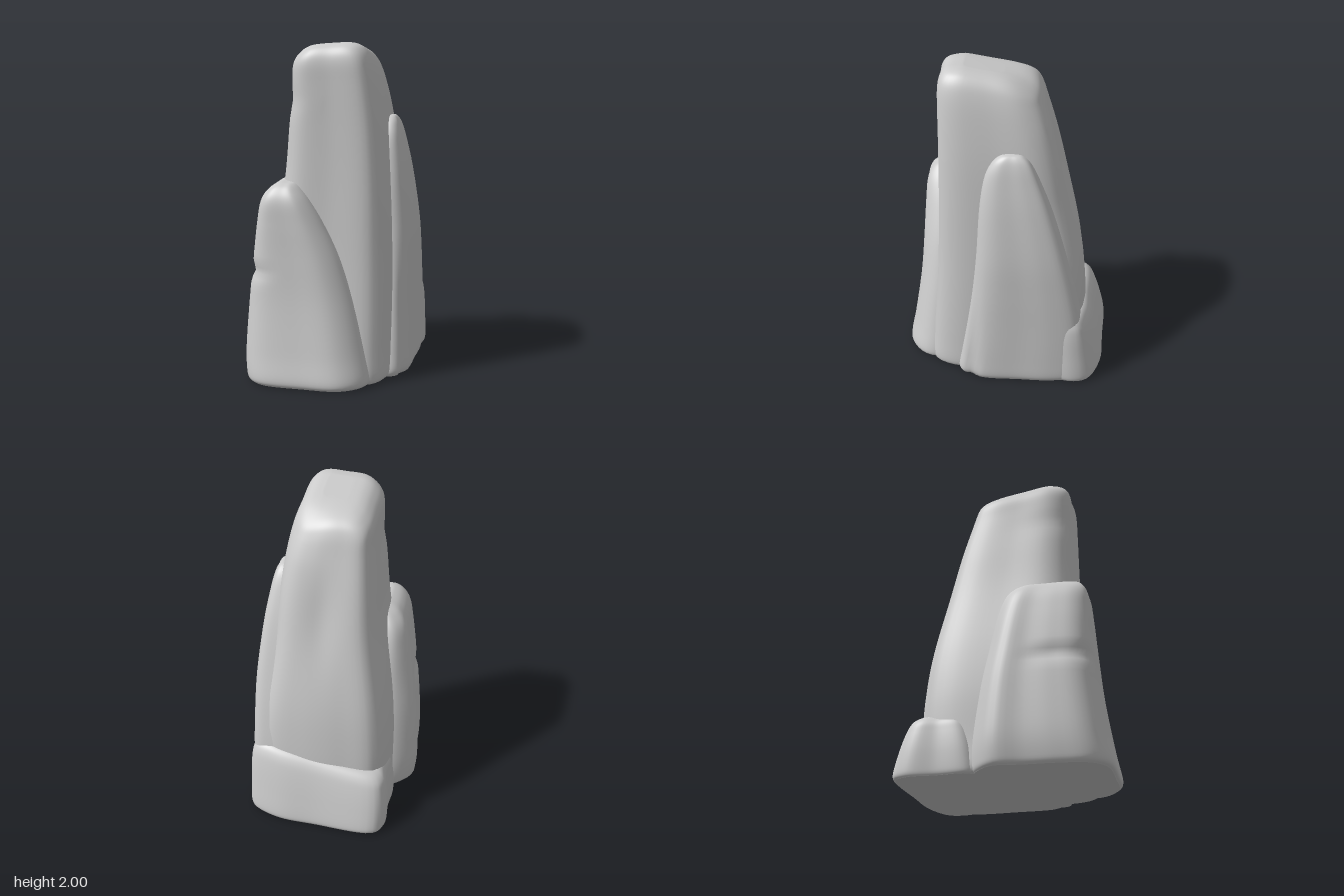
import * as THREE from 'three';

const SIDES = 72, ROWS = 60;
const { smoothstep } = THREE.MathUtils;

// Catmull-Rom blend of the level rows, so each rock tapers smoothly
function levelAt(levels, t) {
  const n = levels.length - 1, f = t * n, i = Math.min(Math.floor(f), n - 1), u = f - i;
  const at = (k) => levels[Math.max(0, Math.min(n, k))];
  return levels[0].map((_, c) => {
    const a = at(i - 1)[c], b = at(i)[c], d = at(i + 1)[c], e = at(i + 2)[c];
    const m0 = (d - a) / 2, m1 = (e - b) / 2;
    return b + m0 * u + (3 * (d - b) - 2 * m0 - m1) * u * u + (2 * (b - d) + m0 + m1) * u * u * u;
  });
}

// Loft a plan outline (-1..1) through levels of [y, xMin, xMax, zMin, zMax]
function rock(name, plan, levels, shape) {
  const curve = new THREE.CatmullRomCurve3(plan.map(([x, z]) => new THREE.Vector3(x, 0, z)), true, 'centripetal');
  const ring = curve.getSpacedPoints(SIDES).slice(0, SIDES);
  const pos = [], index = [];
  for (let r = 0; r <= ROWS; r++) {
    const [y, x0, x1, z0, z1] = levelAt(levels, r / ROWS);
    for (const q of ring) {
      const p = new THREE.Vector3((x0 + x1) / 2 + q.x * (x1 - x0) / 2, y, (z0 + z1) / 2 + q.z * (z1 - z0) / 2);
      shape(p);
      pos.push(p.x, p.y, p.z);
    }
  }
  for (let r = 0; r < ROWS; r++) {
    for (let s = 0; s < SIDES; s++) {
      const a = r * SIDES + s, b = r * SIDES + (s + 1) % SIDES;
      index.push(a, a + SIDES, b, b, a + SIDES, b + SIDES);
    }
  }
  // Top cap shares its ring; the flat underside gets its own ring for a crisp edge
  const addCentre = (first) => {
    const c = [0, 0, 0];
    for (let s = 0; s < SIDES; s++) for (let k = 0; k < 3; k++) c[k] += pos[(first + s) * 3 + k] / SIDES;
    pos.push(...c);
    return pos.length / 3 - 1;
  };
  const top = ROWS * SIDES, topCentre = addCentre(top);
  const base = pos.length / 3;
  pos.push(...pos.slice(0, SIDES * 3));
  const baseCentre = addCentre(base);
  for (let s = 0; s < SIDES; s++) {
    const n = (s + 1) % SIDES;
    index.push(top + s, topCentre, top + n, base + s, base + n, baseCentre);
  }
  const geo = new THREE.BufferGeometry();
  geo.setAttribute('position', new THREE.Float32BufferAttribute(pos, 3));
  geo.setIndex(index);
  geo.computeVertexNormals();
  const mesh = new THREE.Mesh(geo, new THREE.MeshStandardMaterial({ color: 0xcccccc, roughness: 0.9 }));
  mesh.name = name;
  return mesh;
}

// Bell-shaped bump used for dents
const bell = (v, centre, width) => Math.exp(-(((v - centre) / width) ** 2));

export function createModel() {
  const group = new THREE.Group();
  group.name = 'rockFormation';

  // Tall central pillar with a top that slopes down to the back
  group.add(rock('mainPillar',
    [[1, 0], [0.98, 0.7], [0.8, 0.95], [0, 1], [-0.7, 0.98], [-0.96, 0.72], [-1, 0],
      [-0.98, -0.62], [-0.84, -0.9], [-0.3, -0.99], [0.3, -1], [0.78, -0.9], [0.98, -0.6]],
    [[0, -0.35, 0.37, -0.5, 0.46], [0.04, -0.37, 0.39, -0.51, 0.47], [0.2, -0.365, 0.39, -0.51, 0.455],
      [0.5, -0.36, 0.385, -0.495, 0.43], [0.8, -0.33, 0.375, -0.46, 0.41], [1.2, -0.265, 0.355, -0.38, 0.395],
      [1.5, -0.235, 0.33, -0.315, 0.39], [1.75, -0.212, 0.293, -0.25, 0.39], [1.89, -0.2, 0.26, -0.21, 0.388],
      [1.96, -0.155, 0.225, -0.17, 0.365], [1.992, -0.1, 0.18, -0.1, 0.32], [2, -0.03, 0.12, 0.02, 0.24]],
    (p) => {
      const high = (p.y / 2) ** 6;
      p.y += high * 0.17 * Math.min(0, p.z - 0.25) + high * 0.07 * Math.min(0, p.x - 0.12);
      // Lower back corner spreads out toward the side fin
      if (p.x > 0) p.x += 0.25 * p.x * (1 - smoothstep(p.y, 0.4, 1.25)) * smoothstep(-p.z, 0.1, 0.4);
      // Shallow side dent, a long hollow on the back and a chipped top back corner
      if (p.x < 0) p.x += 0.012 * bell(p.y, 1.66, 0.07) * bell(p.z, 0.35, 0.2);
      if (p.z < 0) p.z += 0.03 * bell(p.x, 0.05, 0.1) * bell(p.y, 1.35, 0.3);
      p.y -= 0.04 * bell(p.x, 0.18, 0.12) * bell(p.z, -0.18, 0.12) * smoothstep(p.y, 1.6, 1.85);
    }));

  // Arched slab leaning on the front and wrapping the right side
  group.add(rock('frontSlab',
    [[1, 0.35], [0.97, 0.7], [0.66, 0.96], [0.1, 1], [-0.6, 0.96], [-0.83, 0.75], [-0.92, 0.3],
      [-0.95, -0.2], [-1, -0.6], [-0.88, -0.8], [-0.58, -1], [0, -0.95], [0.7, -0.5]],
    [[0, -0.47, 0.28, -0.16, 0.61], [0.04, -0.49, 0.3, -0.17, 0.63], [0.2, -0.5, 0.27, -0.16, 0.6],
      [0.5, -0.478, 0.2, -0.12, 0.555], [0.75, -0.445, 0.115, -0.07, 0.535], [0.95, -0.412, 0.015, -0.025, 0.525],
      [1.08, -0.38, -0.065, 0.02, 0.515], [1.15, -0.33, -0.12, 0.07, 0.485], [1.185, -0.27, -0.16, 0.13, 0.44],
      [1.19, -0.23, -0.19, 0.22, 0.37]],
    (p) => {
      // Horizontal crack near the outer front corner
      const outer = smoothstep(-p.x, 0.2, 0.42) * smoothstep(p.z, 0.1, 0.35);
      const dent = 0.02 * bell(p.y, 0.66, 0.04) * outer;
      p.x += dent;
      p.z -= dent * 0.6;
    }));

  // Tall arched fin on the left side
  group.add(rock('sideFin',
    [[1, 0], [0.98, 0.6], [0.75, 0.92], [0.3, 1], [-0.6, 0.8], [-1, 0], [-0.6, -0.85], [0.4, -1],
      [0.85, -0.9], [1, -0.5]],
    [[0, 0.1, 0.475, -0.47, 0.275], [0.04, 0.1, 0.488, -0.48, 0.285], [0.16, 0.1, 0.488, -0.485, 0.265],
      [0.4, 0.1, 0.485, -0.48, 0.225], [0.65, 0.1, 0.482, -0.435, 0.19], [0.9, 0.1, 0.473, -0.37, 0.165],
      [1.2, 0.12, 0.44, -0.28, 0.145], [1.4, 0.15, 0.405, -0.205, 0.115], [1.5, 0.2, 0.38, -0.155, 0.07],
      [1.545, 0.24, 0.355, -0.11, 0.02], [1.555, 0.28, 0.33, -0.07, -0.03]],
    (p) => {
      // Soft upright groove behind the front edge
      if (p.x > 0.3) p.x -= 0.02 * bell(p.z, 0.15 + 0.05 * (1 - p.y), 0.03) * Math.max(0, 1 - p.y / 1.4);
    }));

  // Low block across the back, its top falling toward the right
  group.add(rock('rearBlock',
    [[1, 0.2], [0.97, 0.85], [0.6, 1], [-0.6, 1], [-0.92, 0.9], [-0.97, 0], [-0.98, -0.65], [-0.84, -0.98],
      [0, -0.97], [0.5, -0.92], [0.88, -0.65], [0.98, -0.3]],
    [[0, -0.385, 0.485, -0.62, -0.13], [0.04, -0.395, 0.5, -0.635, -0.12], [0.2, -0.395, 0.5, -0.605, -0.14],
      [0.34, -0.385, 0.497, -0.57, -0.17], [0.42, -0.37, 0.485, -0.54, -0.2], [0.465, -0.33, 0.455, -0.5, -0.24],
      [0.48, -0.25, 0.38, -0.44, -0.3]],
    (p) => {
      p.y -= 0.15 * Math.max(0, 0.35 - p.x) * (p.y / 0.48);
      // The side face sinks into the fin
      if (p.x > 0.3) p.x -= 0.07 * smoothstep(p.z, -0.5, -0.15);
    }));

  return group;
}
